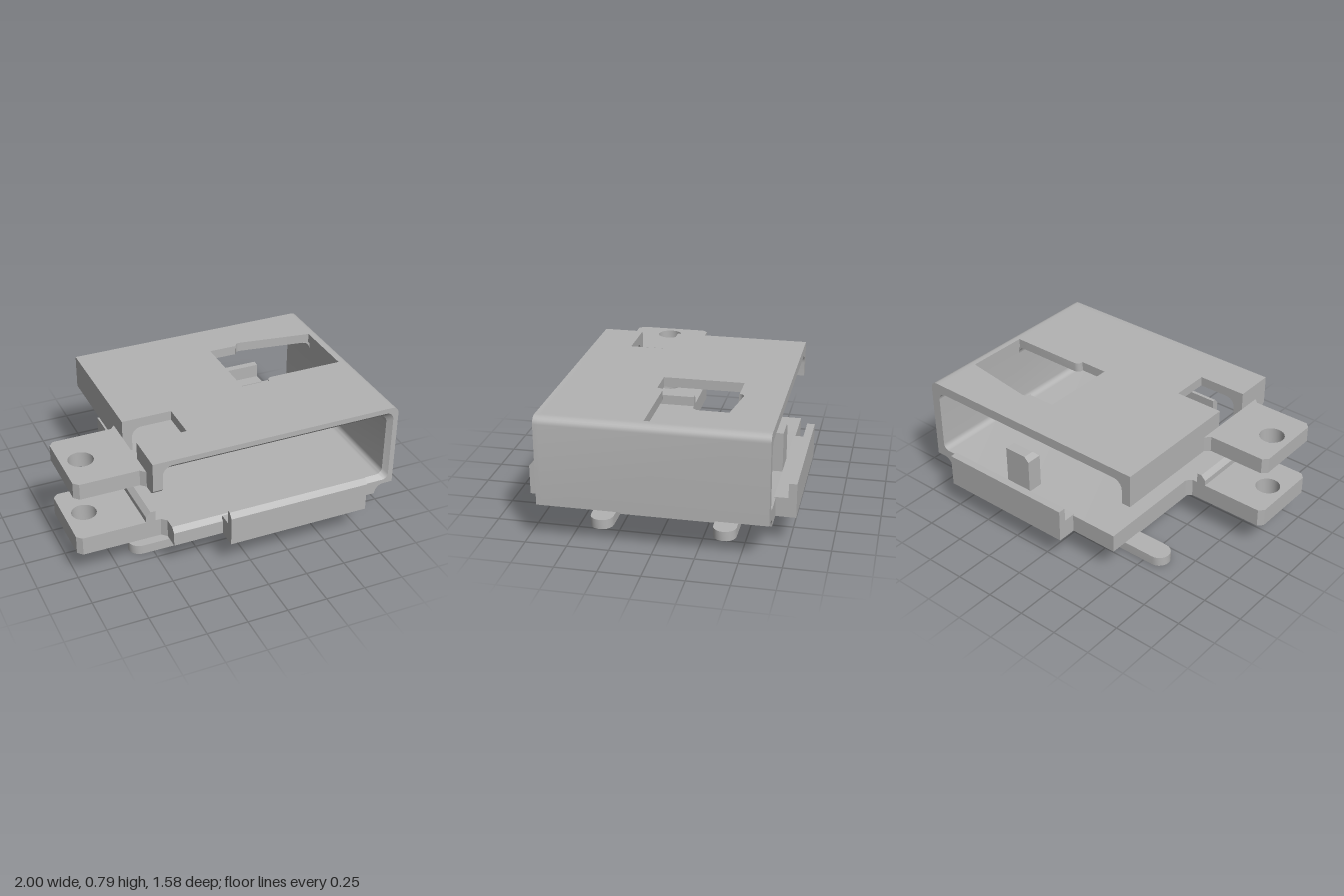
import * as THREE from 'three';
import { toCreasedNormals } from 'three/addons/utils/BufferGeometryUtils.js';

const V = (x, y) => new THREE.Vector2(x, y);

// points on an arc, angles in degrees
function arc(cx, cy, r, a0, a1, n = 6) {
  return Array.from({ length: n + 1 }, (_, i) => {
    const a = THREE.MathUtils.degToRad(a0 + (a1 - a0) * i / n);
    return V(cx + r * Math.cos(a), cy + r * Math.sin(a));
  });
}

// outer wall and floor underside, right of x = 0.93
const outerWall = () => [
  ...arc(0.955, 0.745, 0.045, 90, 0), V(1, 0.25),
  ...arc(0.94, 0.19, 0.06, 90, 180), V(-0.457, 0.19),
];

// whole C section; c widens the opening for the chamfered mouth
const cSection = (c) => [
  V(-0.58, 0.58 + c), V(-0.58, 0.79), ...outerWall(),
  V(-0.457, 0.305 - c), ...arc(0.9 + c, 0.345 - c, 0.04, -90, 0),
  ...arc(0.89 + c, 0.68 + c, 0.05, 0, 90),
  ...arc(-0.46, 0.67 + c, 0.06, 90, 180), V(-0.52, 0.58 + c),
];

// solid side wall and front cap between two matching sections
function loft(a, z0, b, z1) {
  if (THREE.ShapeUtils.area(a) < 0) { a = [...a].reverse(); b = [...b].reverse(); }
  const pos = [];
  const put = (p, z) => pos.push(p.x, p.y, z);
  a.forEach((p, i) => {
    const j = (i + 1) % a.length;
    put(p, z0); put(a[j], z0); put(b[j], z1);
    put(p, z0); put(b[j], z1); put(b[i], z1);
  });
  THREE.ShapeUtils.triangulateShape(b, []).forEach((t) => t.forEach((k) => put(b[k], z1)));
  const g = new THREE.BufferGeometry();
  g.setAttribute('position', new THREE.Float32BufferAttribute(pos, 3));
  g.computeVertexNormals();
  return g;
}

export function createModel() {
  const group = new THREE.Group();
  const metal = new THREE.MeshStandardMaterial({ color: 0xb3b3b3 });
  metal.name = 'grey metal';

  const add = (name, geo) => {
    const m = new THREE.Mesh(toCreasedNormals(geo, 0.6), metal);
    m.name = name;
    group.add(m);
    return m;
  };
  // section in x-y, extruded along z
  const along = (name, pts, z0, z1) => add(name,
    new THREE.ExtrudeGeometry(new THREE.Shape(pts), { depth: z1 - z0, bevelEnabled: false })
      .translate(0, 0, z0));
  // outline in x-z, extruded along y
  const plate = (name, pts, y0, y1, holes = []) => {
    const s = new THREE.Shape(pts);
    s.holes = holes.map((h) => new THREE.Path(h));
    return add(name, new THREE.ExtrudeGeometry(s, { depth: y1 - y0, bevelEnabled: false })
      .rotateX(Math.PI / 2).translate(0, y1, 0));
  };
  // section in z-y, extruded along x
  const across = (name, pts, x0, x1) => add(name,
    new THREE.ExtrudeGeometry(new THREE.Shape(pts.map((p) => V(-p.x, p.y))),
      { depth: x1 - x0, bevelEnabled: false }).rotateY(Math.PI / 2).translate(x0, 0, 0));

  const back = -0.67, mouth = 0.64, front = 0.67;

  // side wall and floor in one bent section
  along('wallAndFloor', [
    V(0.93, 0.79), ...outerWall(), V(-0.457, 0.305),
    ...arc(0.9, 0.345, 0.04, -90, 0), V(0.94, 0.73), V(0.93, 0.73),
  ], back, mouth);

  // top plate with edge notch and stepped window
  const window = [
    V(0.24, -0.4), V(0.42, -0.4), ...arc(0.455, -0.395, 0.035, 180, 90, 4).map((p) => V(p.x, -0.79 - p.y)),
    V(0.929, -0.36), V(0.929, 0.05), ...arc(0.455, 0.085, 0.035, -90, -180, 4), V(0.42, 0.09), V(0.24, 0.09),
  ];
  plate('topPlate', [
    V(-0.58, back), V(0.93, back), V(0.93, mouth), V(-0.58, mouth),
    V(-0.58, 0.42), V(-0.27, 0.42), V(-0.27, 0.18), V(-0.58, 0.18),
  ], 0.73, 0.79, [window]);

  // rounded inner corner, interrupted by the window
  for (const [z0, z1] of [[back, -0.36], [0.05, mouth]]) {
    along('innerCorner', [V(0.94, 0.73), ...arc(0.89, 0.68, 0.05, 90, 0)], z0, z1);
  }

  // hanging lip, interrupted by the notch
  for (const [z0, z1] of [[back, 0.18], [0.42, mouth]]) {
    along('lip', [
      V(-0.58, 0.58), V(-0.58, 0.73), ...arc(-0.46, 0.67, 0.06, 90, 180), V(-0.52, 0.58),
    ], z0, z1);
  }

  // chamfered front mouth
  add('mouthRim', loft(cSection(0), mouth, cSection(0.028), front));

  // two terminal tabs with flared roots and holes
  const tab = (name, root, y0, y1) => plate(name, [
    V(-0.97, 0.06), V(root - 0.03, 0.06), V(root, 0.03), V(root, 0.57), V(root - 0.03, 0.54),
    V(-0.97, 0.54), V(-1, 0.51), V(-1, 0.09),
  ], y0, y1, [arc(-0.88, 0.3, 0.076, 0, 345, 23)]);
  tab('upperTab', -0.58, 0.58, 0.68);
  tab('lowerTab', -0.457, 0.19, 0.305);

  // stop ridge on the lower tab
  along('stopRidge', [
    V(-0.58, 0.3), V(-0.52, 0.3), V(-0.52, 0.37), V(-0.55, 0.37), V(-0.58, 0.34),
  ], 0.06, 0.54);

  // side rails with upturned edges
  across('frontRail', [
    V(0.66, 0.19), V(0.79, 0.19), V(0.79, 0.37), V(0.762, 0.4), V(0.74, 0.4), V(0.74, 0.31), V(0.66, 0.31),
  ], -0.147, 0.748);
  across('backRail', [
    V(-0.66, 0.19), V(-0.79, 0.19), V(-0.79, 0.4), V(-0.742, 0.4), V(-0.742, 0.31), V(-0.66, 0.31),
  ], -0.147, 0.748);

  // latch post with chamfered top
  const post = new THREE.BoxGeometry(0.18, 0.25, 0.1, 1, 2, 1).translate(0.3, 0.425, -0.61);
  const p = post.attributes.position;
  for (let i = 0; i < p.count; i++) {
    if (p.getY(i) > 0.5) {
      if (p.getX(i) < 0.3) p.setX(i, 0.24);
      if (p.getZ(i) > -0.6) p.setZ(i, -0.59);
    } else if (p.getY(i) > 0.4) p.setY(i, 0.52);
  }
  post.computeVertexNormals();
  add('latchPost', post.toNonIndexed());

  // neck and H-shaped foot
  add('neck', new THREE.BoxGeometry(0.606, 0.14, 0.426).translate(0.21, 0.125, 0));
  plate('foot', [
    ...arc(0.688, 0.37, 0.07, -90, 90, 10), ...arc(-0.565, 0.37, 0.07, 90, 270, 10),
    V(-0.32, 0.3), V(-0.32, -0.3),
    ...arc(-0.565, -0.37, 0.07, 90, 270, 10), ...arc(0.688, -0.37, 0.07, -90, 90, 10),
    V(0.54, -0.3), V(0.54, 0.3),
  ], 0, 0.06);

  return group;
}
